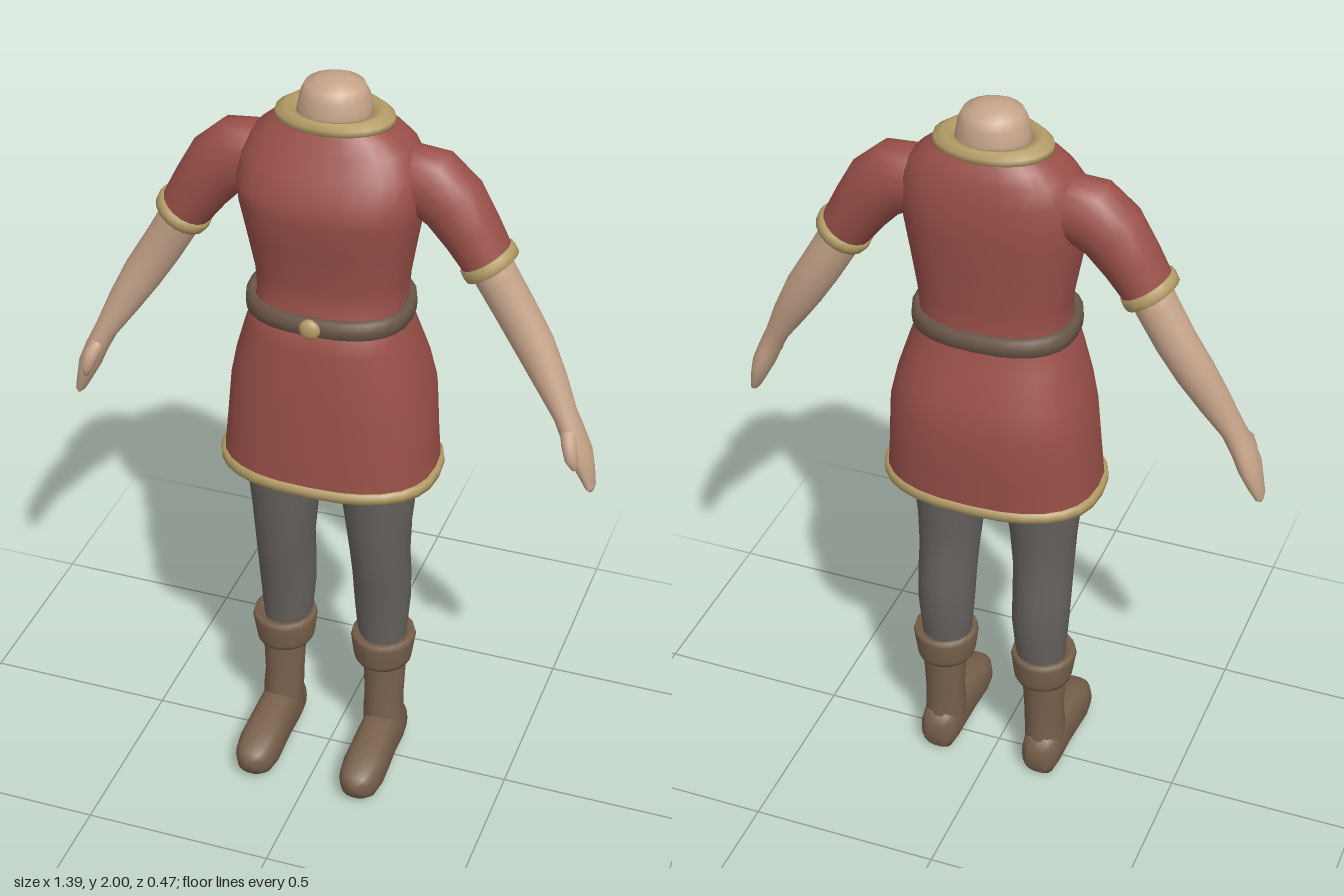
import * as THREE from 'three';

const mat = (name, color, side = THREE.DoubleSide) => {
  const m = new THREE.MeshStandardMaterial({ color, side });
  m.name = name;
  return m;
};
const Y = new THREE.Vector3(0, 1, 0);
const Z = new THREE.Vector3(0, 0, 1);

// Smooth skin over rounded sections [x, y, z, radiusAcross, radiusAlongRef].
// Without a fixed axis each section turns to follow the path.
function loft(sections, { axis = null, ref = Z, n = 2, seg = 18, caps = false, floor = -1 } = {}) {
  const pos = [], idx = [];
  const centre = sections.map(s => new THREE.Vector3(s[0], s[1], s[2]));
  const last = sections.length - 1;
  sections.forEach((s, i) => {
    const t = axis ? axis.clone()
      : centre[Math.min(i + 1, last)].clone().sub(centre[Math.max(i - 1, 0)]).normalize();
    const u = t.clone().cross(ref).normalize();
    const v = u.clone().cross(t).normalize();
    for (let j = 0; j < seg; j++) {
      const a = j / seg * Math.PI * 2, c = Math.cos(a), d = Math.sin(a);
      const p = centre[i].clone()
        .addScaledVector(u, Math.sign(c) * Math.abs(c) ** (2 / n) * s[3])
        .addScaledVector(v, Math.sign(d) * Math.abs(d) ** (2 / n) * s[4]);
      pos.push(p.x, Math.max(p.y, floor), p.z);
      if (i < last) {
        const A = i * seg + j, B = i * seg + (j + 1) % seg;
        idx.push(A, A + seg, B, B, A + seg, B + seg);
      }
    }
  });
  if (caps) {
    [0, last].forEach(i => {
      const k = pos.length / 3;
      pos.push(...centre[i].toArray());
      for (let j = 0; j < seg; j++) {
        const A = i * seg + j, B = i * seg + (j + 1) % seg;
        if (i) idx.push(A, k, B); else idx.push(A, B, k);
      }
    });
  }
  const g = new THREE.BufferGeometry();
  g.setAttribute('position', new THREE.Float32BufferAttribute(pos, 3));
  g.setIndex(idx);
  g.computeVertexNormals();
  return g;
}

// Rolled band: a closed ring with a rounded box profile.
function band([x, y, z], ru, rv, height, thick, opts) {
  const prof = [[-0.3, 1], [-0.5, 0.6], [-0.4, 0.1], [0, 0], [0.4, 0.1], [0.5, 0.6], [0.3, 1]];
  const a = opts.axis;
  return loft(prof.map(([h, d]) => [
    x + a.x * h * height, y + a.y * h * height, z + a.z * h * height, ru - d * thick, rv - d * thick
  ]), opts);
}

// Level section given by half width, front z and back z.
const level = (y, hx, zf, zb, x = 0) => [x, y, (zf + zb) / 2, hx, (zf - zb) / 2];

export function createModel() {
  const root = new THREE.Group();
  root.name = 'tunicFigure';
  const red = mat('tunicRed', 0x9a5049);
  const gold = mat('trimGold', 0xb39c66);
  const skin = mat('skin', 0xc6a48a);
  const grey = mat('trouserGrey', 0x65615e);
  const brown = mat('bootBrown', 0x77604b);
  const leather = mat('beltLeather', 0x6d584a);
  const add = (name, geo, material, parent = root) => {
    const m = new THREE.Mesh(geo, material);
    m.name = name;
    parent.add(m);
    return m;
  };

  // Tunic body and flared skirt, open at the hem
  const body = { axis: Y, n: 2.5, seg: 28 };
  add('tunic', loft([
    level(0.95, 0.277, 0.172, -0.215), level(1.05, 0.268, 0.17, -0.222),
    level(1.17, 0.259, 0.163, -0.23), level(1.25, 0.242, 0.158, -0.212),
    level(1.34, 0.215, 0.147, -0.18), level(1.385, 0.2, 0.14, -0.166),
    level(1.425, 0.186, 0.112, -0.155), level(1.5, 0.192, 0.11, -0.157),
    level(1.6, 0.209, 0.13, -0.167), level(1.69, 0.226, 0.146, -0.174),
    level(1.74, 0.232, 0.143, -0.176), level(1.8, 0.225, 0.113, -0.172),
    level(1.85, 0.198, 0.085, -0.16), level(1.88, 0.162, 0.07, -0.146),
    level(1.905, 0.12, 0.055, -0.13)
  ], body), red);
  add('hemTrim', band([0, 0.95, -0.021], 0.287, 0.2, 0.034, 0.022, body), gold);

  // Collar and neck stump
  add('collar', loft([
    level(1.885, 0.125, 0.055, -0.13), level(1.895, 0.148, 0.07, -0.146),
    level(1.91, 0.146, 0.071, -0.146), level(1.925, 0.122, 0.062, -0.135),
    level(1.922, 0.1, 0.05, -0.12), level(1.9, 0.085, 0.04, -0.11)
  ], { axis: Y, seg: 24 }), gold);
  add('neck', loft([
    level(1.87, 0.1, 0.055, -0.13), level(1.93, 0.09, 0.047, -0.12),
    level(1.96, 0.084, 0.042, -0.116), level(1.983, 0.072, 0.032, -0.106),
    level(1.997, 0.04, 0.006, -0.076), level(2.0, 0.01, -0.025, -0.045)
  ], { axis: Y, caps: true }), skin);

  // Belt with a round buckle
  add('belt', band([0, 1.415, -0.012], 0.21, 0.162, 0.054, 0.024, body), leather);
  const buckle = add('buckle', new THREE.SphereGeometry(0.027, 14, 10), gold);
  buckle.position.set(0, 1.413, 0.148);
  buckle.scale.z = 0.6;

  // Trouser seat under the skirt
  add('trouserSeat', loft([
    level(0.96, 0.05, 0.04, -0.07), level(1.0, 0.17, 0.09, -0.13),
    level(1.12, 0.22, 0.11, -0.15), level(1.3, 0.18, 0.1, -0.13)
  ], { axis: Y, caps: true }), grey);

  [1, -1].forEach(s => {
    const side = s > 0 ? 'left' : 'right';
    const arm = new THREE.Group(), leg = new THREE.Group();
    arm.name = side + 'Arm';
    leg.name = side + 'Leg';
    root.add(arm, leg);
    const flip = rows => rows.map(([x, ...r]) => [x * s, ...r]);

    // Puffed short sleeve with trimmed cuff
    add('sleeve', loft(flip([
      [0.15, 1.76, -0.04, 0.075, 0.07], [0.195, 1.767, -0.04, 0.084, 0.077],
      [0.245, 1.76, -0.038, 0.092, 0.08], [0.297, 1.72, -0.036, 0.085, 0.08],
      [0.345, 1.652, -0.034, 0.074, 0.075], [0.392, 1.578, -0.032, 0.065, 0.069]
    ])), red, arm);
    add('sleeveTrim', band([0.391 * s, 1.58, -0.032], 0.074, 0.078, 0.036, 0.02,
      { axis: new THREE.Vector3(0.55 * s, -0.835, 0) }), gold, arm);

    // Bare arm running into a flat mitten hand
    add('forearmAndHand', loft(flip([
      [0.36, 1.63, -0.032, 0.054, 0.056], [0.41, 1.54, -0.034, 0.054, 0.053],
      [0.46, 1.455, -0.036, 0.053, 0.049], [0.51, 1.375, -0.03, 0.051, 0.047],
      [0.56, 1.29, -0.016, 0.042, 0.043], [0.605, 1.21, -0.001, 0.03, 0.037],
      [0.632, 1.155, 0.006, 0.029, 0.044], [0.653, 1.105, 0.006, 0.028, 0.046],
      [0.669, 1.06, 0.006, 0.02, 0.036], [0.682, 1.022, 0.01, 0.012, 0.025],
      [0.686, 1.01, 0.012, 0.005, 0.012]
    ]), { caps: true }), skin, arm);
    add('thumb', loft(flip([
      [0.615, 1.19, 0.018, 0.018, 0.018], [0.63, 1.155, 0.046, 0.02, 0.02],
      [0.64, 1.12, 0.056, 0.017, 0.017], [0.647, 1.09, 0.05, 0.007, 0.008]
    ]), { caps: true, seg: 10 }), skin, arm);

    // Trouser leg
    const lx = (y, xi, xo, zf, zb) => level(y, (xo - xi) / 2, zf, zb, s * (xi + xo) / 2);
    const up = { axis: Y };
    add('trouserLeg', loft([
      lx(0.34, 0.08, 0.195, 0.015, -0.1), lx(0.41, 0.066, 0.2, 0.022, -0.108),
      lx(0.5, 0.058, 0.207, 0.032, -0.12), lx(0.59, 0.056, 0.209, 0.05, -0.12),
      lx(0.67, 0.053, 0.209, 0.066, -0.108), lx(0.77, 0.042, 0.214, 0.076, -0.106),
      lx(0.95, 0.017, 0.232, 0.096, -0.125), lx(1.12, 0.0, 0.23, 0.1, -0.14)
    ], up), grey, leg);

    // Boot: turned-down cuff, shaft and foot
    add('bootCuff', loft([
      lx(0.32, 0.09, 0.19, 0.01, -0.085), lx(0.312, 0.066, 0.213, 0.042, -0.113),
      lx(0.325, 0.06, 0.217, 0.047, -0.117), lx(0.385, 0.053, 0.226, 0.056, -0.125),
      lx(0.4, 0.058, 0.222, 0.051, -0.121), lx(0.397, 0.075, 0.2, 0.03, -0.103),
      lx(0.37, 0.085, 0.19, 0.01, -0.09)
    ], up), brown, leg);
    add('bootShaft', loft([
      lx(0.05, 0.092, 0.198, 0.03, -0.094), lx(0.14, 0.09, 0.198, 0.032, -0.092),
      lx(0.19, 0.09, 0.196, 0.016, -0.089), lx(0.34, 0.083, 0.202, 0.018, -0.098)
    ], up), brown, leg);
    add('bootFoot', loft(flip([
      [0.147, 0.05, -0.101, 0.03, 0.035], [0.147, 0.062, -0.088, 0.048, 0.064],
      [0.147, 0.07, -0.04, 0.054, 0.075], [0.147, 0.07, 0.03, 0.054, 0.075],
      [0.148, 0.064, 0.09, 0.056, 0.069], [0.148, 0.058, 0.15, 0.058, 0.064],
      [0.148, 0.054, 0.195, 0.053, 0.052], [0.148, 0.055, 0.223, 0.038, 0.036],
      [0.148, 0.056, 0.235, 0.016, 0.016]
    ]), { axis: Z, ref: Y, n: 2.5, caps: true, floor: 0 }), brown, leg);
  });
  return root;
}
